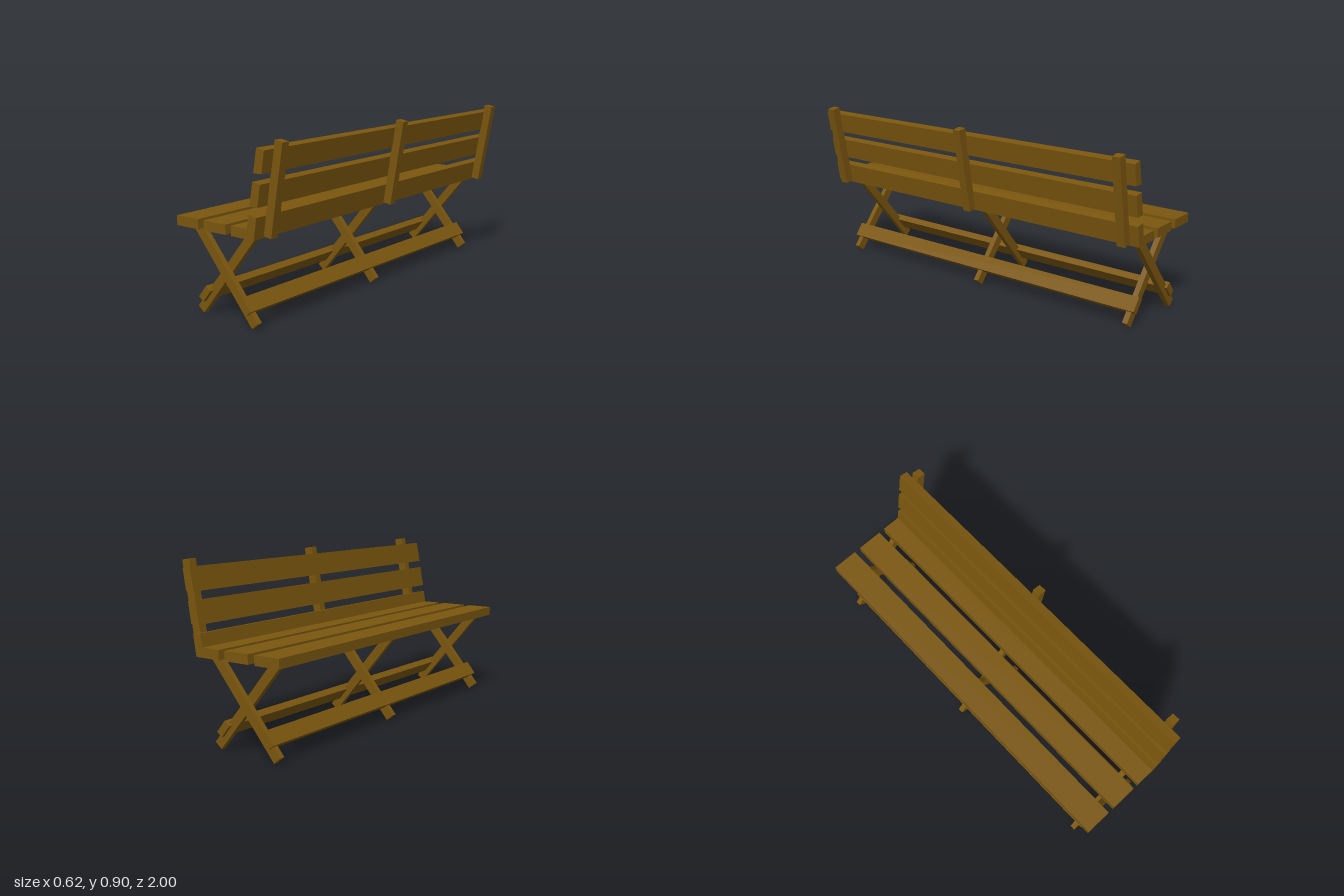
import * as THREE from 'three';

const wood = new THREE.MeshStandardMaterial({ color: 0x7a560e });
wood.name = 'brown wood';

// Straight plank: a four-cornered end section in x/y, running from z0 to z1
function plank(name, corners, z0, z1) {
  const shape = new THREE.Shape(corners.map(([x, y]) => new THREE.Vector2(x, y)));
  const geometry = new THREE.ExtrudeGeometry(shape, { depth: z1 - z0, bevelEnabled: false });
  geometry.translate(0, 0, z0);
  const mesh = new THREE.Mesh(geometry, wood);
  mesh.name = name;
  return mesh;
}

// Mirror a section across the line where the legs cross
const MID = -0.0685;
const mirror = (corners) => corners.map(([x, y]) => [2 * MID - x, y]);

export function createModel() {
  const bench = new THREE.Group();
  bench.name = 'bench';

  // Seat: three flat slats
  [-0.313, -0.133, 0.044].forEach((x, i) => {
    const w = 0.142;
    bench.add(plank(`seatSlat${i + 1}`,
      [[x, 0.447], [x + w, 0.447], [x + w, 0.495], [x, 0.495]], -1, 1));
  });

  // Backrest: three leaning slats with level undersides
  [[0.137, 0.447], [0.164, 0.599], [0.192, 0.752]].forEach(([x, y], i) => {
    bench.add(plank(`backSlat${i + 1}`,
      [[x, y], [x + 0.049, y], [x + 0.067, y + 0.106], [x + 0.021, y + 0.114]], -1, 1));
  });

  // Three frames, each a back post and a pair of crossed legs side by side
  const post = [[0.187, 0.456], [0.232, 0.448], [0.31, 0.89], [0.264, 0.898]];
  const leg = [[-0.28, 0.031], [-0.243, 0], [0.131, 0.447], [0.069, 0.447]];
  const half = 0.0285;
  [-0.932, -0.009, 0.914].forEach((z, i) => {
    const frame = new THREE.Group();
    frame.name = `frame${i + 1}`;
    frame.add(
      plank('backPost', post, z - 0.02, z + 0.023),
      plank('risingLeg', leg, z - half, z),
      plank('crossingLeg', mirror(leg), z, z + half),
    );
    bench.add(frame);
  });

  // Stretchers joining the lower legs
  const rail = [[0.036, 0.127], [0.087, 0.065], [0.116, 0.088], [0.065, 0.15]];
  bench.add(
    plank('rearStretcher', rail, -0.949, 0.96),
    plank('frontStretcher', mirror(rail), -0.974, 0.934),
  );

  return bench;
}
